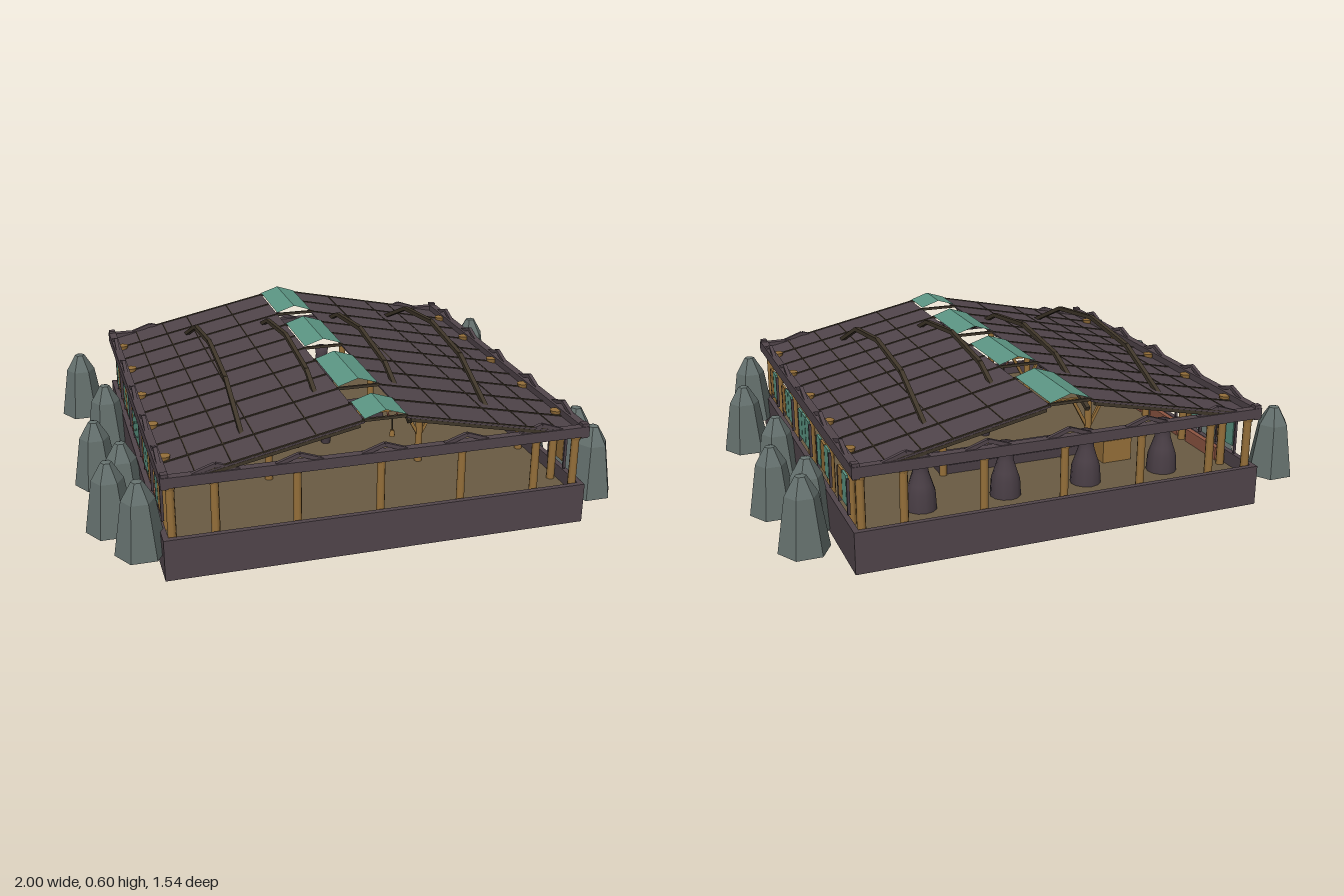
import * as THREE from 'three';

const mat = (name, color) => {
  const m = new THREE.MeshStandardMaterial({ color });
  m.name = name;
  return m;
};

export function createModel() {
  const model = new THREE.Group();
  const plum = mat('plum wood', 0x51454b);
  const ochre = mat('ochre wood', 0x96703a);
  const teal = mat('teal panel', 0x5c9684);
  const stone = mat('grey stone', 0x64706d);
  const earth = mat('floor boards', 0x6a5b43);
  const bark = mat('dark batten', 0x40372a);
  const iron = mat('dark iron', 0x493e45);
  const red = mat('red cloth', 0x8f5643);
  stone.flatShading = true;
  teal.side = THREE.DoubleSide;

  const add = (name, geo, material, x = 0, y = 0, z = 0) => {
    const m = new THREE.Mesh(geo, material);
    m.name = name;
    m.position.set(x, y, z);
    model.add(m);
    return m;
  };
  const box = (name, material, w, h, d, x, y, z) =>
    add(name, new THREE.BoxGeometry(w, h, d), material, x, y, z);
  // Square bar between two points
  const bar = (name, material, a, b, t) => {
    const p = new THREE.Vector3(...a), q = new THREE.Vector3(...b);
    const m = box(name, material, t, t, p.distanceTo(q), 0, 0, 0);
    m.position.copy(p).add(q).multiplyScalar(0.5);
    m.lookAt(q);
    return m;
  };

  // Base skirt, floor and the eave beams above
  for (const s of [-1, 1]) {
    box('baseSkirt', plum, 1.54, 0.152, 0.02, 0, 0.107, s * 0.76);
    box('baseSkirt', plum, 0.02, 0.152, 1.5, s * 0.76, 0.107, 0);
    box('eaveBeam', plum, 1.54, 0.038, 0.03, 0, 0.392, s * 0.755);
    box('eaveBeam', plum, 0.03, 0.042, 1.48, s * 0.755, 0.394, 0);
  }
  box('floor', earth, 1.5, 0.06, 1.5, 0, 0.1, 0);

  // Columns on all four sides, with low chevrons over the eaves
  const spots = [-0.585, -0.3, 0, 0.3, 0.585];
  const column = (x, z, top) => {
    add('column', new THREE.CylinderGeometry(0.015, 0.016, top - 0.05, 8), ochre, x, (top + 0.05) / 2, z);
    add('columnFoot', new THREE.CylinderGeometry(0.02, 0.022, 0.03, 8), ochre, x, 0.06, z);
    add('columnCapital', new THREE.CylinderGeometry(0.022, 0.018, 0.02, 8), ochre, x, top - 0.01, z);
  };
  for (const s of [-1, 1]) {
    for (const p of spots) {
      column(p, s * 0.725, 0.374);
      column(s * 0.728, p, 0.408);
      for (const k of [-1, 1]) {
        bar('eaveChevron', plum, [p + k * 0.08, 0.406, s * 0.757], [p, 0.434, s * 0.757], 0.014);
        bar('eaveChevron', plum, [s * 0.757, 0.408, p + k * 0.08], [s * 0.757, 0.436, p], 0.014);
      }
    }
    for (const e of [-1, 1]) {
      column(s * 0.735, e * 0.735, 0.374);
      box('cornerCap', plum, 0.025, 0.055, 0.025, s * 0.755, 0.395, e * 0.755);
    }
  }

  // Roof slopes with battens
  const slope = (0.53 - 0.385) / (0.765 - 0.075);
  const roofY = x => 0.53 - (Math.abs(x) - 0.075) * slope;
  for (const s of [-1, 1]) {
    const roof = new THREE.Shape([
      new THREE.Vector2(s * 0.075, 0.53), new THREE.Vector2(s * 0.075, 0.524),
      new THREE.Vector2(s * 0.765, 0.379), new THREE.Vector2(s * 0.765, 0.385)]);
    add('roofSlope', new THREE.ExtrudeGeometry(roof, { depth: 1.53, bevelEnabled: false }), plum, 0, 0, -0.765);
    for (let i = -5; i <= 5; i++) {
      const z = i * 0.152;
      bar('roofBatten', bark, [s * 0.075, 0.529, z], [s * 0.745, roofY(0.745) - 0.001, z], 0.008);
      bar('roofRafter', bark, [s * 0.09, 0.515, z], [s * 0.74, roofY(0.74) - 0.012, z], 0.012);
    }
    for (const x of [0.24, 0.42, 0.53, 0.65])
      box('roofSeam', bark, 0.004, 0.004, 1.52, s * x, roofY(x), 0);
  }

  // Peaked ridge panels, with open gaps between them
  const cap = (a, b) => {
    const g = new THREE.PlaneGeometry(0.15, b - a, 2, 1).rotateX(-Math.PI / 2);
    const p = g.attributes.position;
    for (let i = 0; i < p.count; i++) p.setY(i, 0.562 - Math.abs(p.getX(i)) * 0.33);
    const flat = g.toNonIndexed();
    flat.computeVertexNormals();
    add('ridgePanel', flat, teal, 0, 0, (a + b) / 2);
  };
  for (const [a, b] of [[-0.762, -0.455], [-0.305, 0], [0.148, 0.455], [0.603, 0.762]]) cap(a, b);
  for (const z of [-0.755, -0.455, -0.305, 0, 0.148, 0.455, 0.603, 0.755])
    box('ridgeTie', bark, 0.16, 0.01, 0.01, 0, 0.53, z);

  // Arched ribs standing over the roof
  const arc = [[-0.59, 0.43], [-0.305, 0.556], [0, 0.592], [0.305, 0.556], [0.59, 0.43]];
  for (const x of [-0.455, -0.152, 0.152, 0.455])
    for (let i = 0; i < 4; i++)
      bar('roofRib', bark, [x, arc[i][1], arc[i][0]], [x, arc[i + 1][1], arc[i + 1][0]], 0.016);

  // Shutters along both long sides
  const tealZ = [0.548, 0.305, 0.248, 0.06, 0.003, -0.055, -0.245, -0.36, -0.605];
  const ochreZ = [0.605, 0.365, -0.305, -0.55];
  for (const s of [-1, 1]) {
    for (const z of tealZ) box('tealShutter', teal, 0.009, 0.112, 0.052, s * 0.752, 0.272, z);
    for (const z of ochreZ) box('ochreShutter', ochre, 0.009, 0.112, 0.052, s * 0.752, 0.272, z);
    for (const z of [0.638, 0.515, 0.4, 0.215, 0.096, -0.09, -0.21, -0.395, -0.515, -0.64])
      box('shutterPost', iron, 0.01, 0.13, 0.008, s * 0.752, 0.255, z);
  }

  // Interior frame with braced posts and a tie beam
  for (const z of [-0.3, 0.3]) {
    box('tieBeam', ochre, 0.68, 0.014, 0.016, 0, 0.36, z);
    for (const s of [-1, 1]) {
      add('innerPost', new THREE.CylinderGeometry(0.014, 0.016, 0.3, 8), ochre, s * 0.3, 0.21, z);
      for (const k of [-1, 1])
        bar('postBrace', ochre, [s * 0.3, 0.235, z], [s * 0.3 + k * 0.065, 0.355, z], 0.012);
    }
  }

  // Hanging rings with small lanterns, and a bowl on the floor
  for (const s of [-1, 1]) {
    add('hangingRing', new THREE.TorusGeometry(0.02, 0.004, 6, 14), red, s * 0.19, 0.345, 0.3);
    bar('lanternCord', bark, [s * 0.19, 0.325, 0.3], [s * 0.19, 0.27, 0.3], 0.005);
    add('lantern', new THREE.CylinderGeometry(0.008, 0.012, 0.025, 8), ochre, s * 0.19, 0.26, 0.3);
  }
  add('floorBowl', new THREE.CylinderGeometry(0.024, 0.018, 0.04, 10), iron, 0, 0.15, 0.035);

  // Row of jars near the back
  const jar = [[0, 0.035], [0.056, 0.035], [0.058, 0.12], [0.053, 0.195], [0.043, 0.225],
    [0.03, 0.265], [0.026, 0.295], [0.031, 0.33], [0, 0.33]].map(p => new THREE.Vector2(...p));
  for (const x of [-0.49, -0.17, 0.15, 0.47])
    add('jar', new THREE.LatheGeometry(jar, 12), iron, x, 0, -0.55);

  // Sunken platform, chest and red panels inside the skirt
  box('platform', iron, 0.58, 0.13, 0.15, 0.02, 0.1, -0.225);
  box('chest', ochre, 0.12, 0.1, 0.08, -0.37, 0.168, -0.38);
  for (const z of [-0.44, -0.15, 0.15, 0.44])
    box('sidePanel', red, 0.02, 0.14, 0.22, -0.738, 0.112, z);

  // Six-sided standing stones along both sides
  const profile = [[0, 0], [0.09, 0], [0.058, 0.2], [0.02, 0.265], [0, 0.27]]
    .map(p => new THREE.Vector2(...p));
  const stones = [[0.91, 0.095, -0.65], [0.835, 0.045, -0.38], [0.91, 0, -0.115],
    [0.835, 0.015, 0.15], [0.91, 0.065, 0.415], [0.835, 0.105, 0.68]];
  for (const s of [-1, 1])
    for (const [x, y, z] of stones)
      add('standingStone', new THREE.LatheGeometry(profile, 6), stone, s * x, y, z)
        .rotation.y = Math.PI / 6;

  return model;
}
